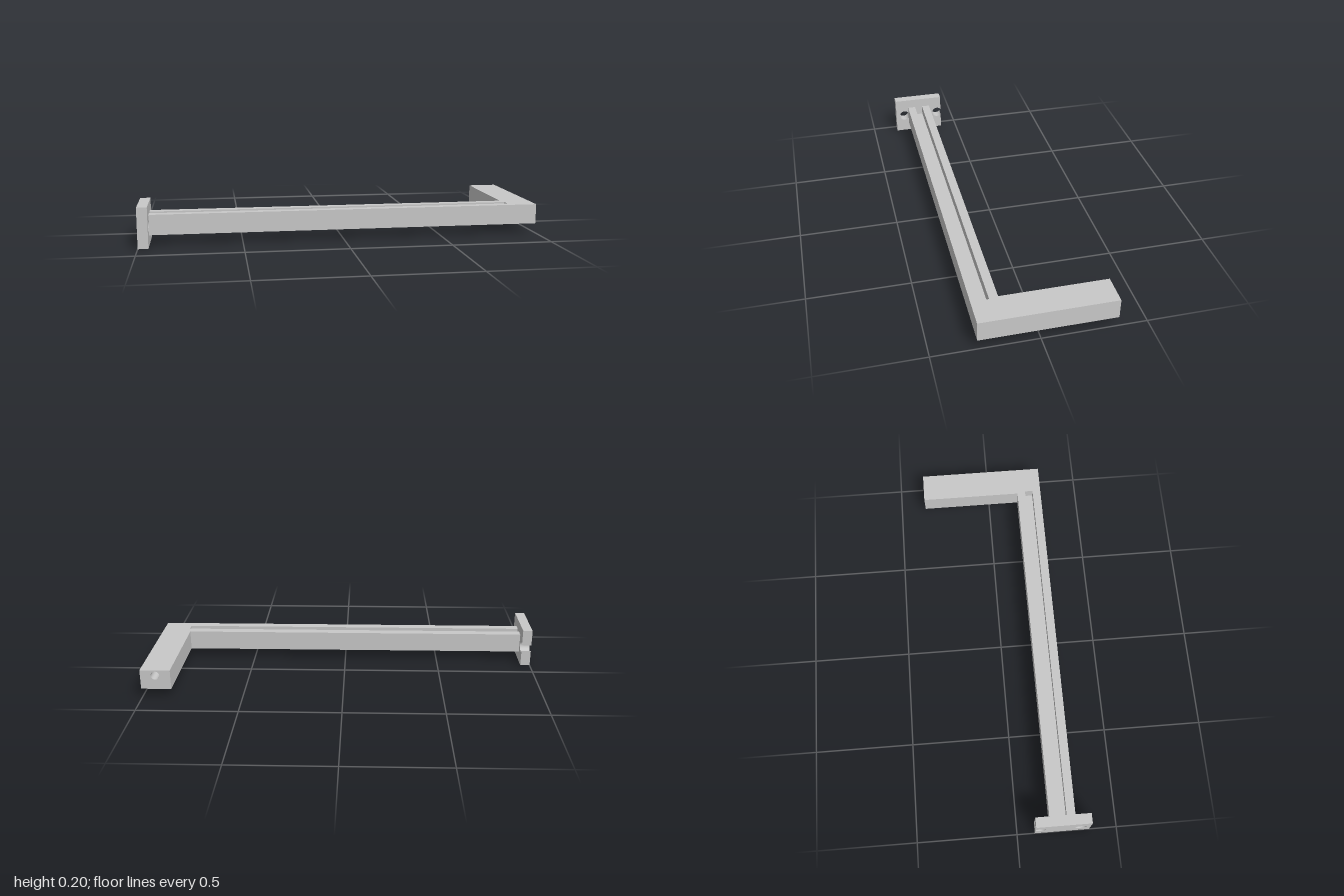
import * as THREE from 'three';

const BAR_BACK = 0.16, BAR_FRONT = 0.2885;  // z range of the long bar
const BAR_LOW = 0.05, BAR_HIGH = 0.15;      // y range of bar and arm
const Z_END = 0.362;

function polygon(points) {
  return new THREE.Shape(points.map(([x, y]) => new THREE.Vector2(x, y)));
}

function addHole(shape, x, y, r) {
  const hole = new THREE.Path();
  hole.absarc(x, y, r, 0, Math.PI * 2, true);
  shape.holes.push(hole);
}

function extrude(shape, depth) {
  return new THREE.ExtrudeGeometry(shape, { depth, bevelEnabled: false, curveSegments: 40 });
}

// Extrudes a (-z, y) profile from x0 to x1
function extrudeAlongX(shape, x0, x1) {
  return extrude(shape, x1 - x0).rotateY(Math.PI / 2).translate(x0, 0, 0);
}

export function createModel() {
  const group = new THREE.Group();
  const grey = new THREE.MeshStandardMaterial({ color: 0xc8c8c8 });
  grey.name = 'light grey';

  const add = (name, geometry) => {
    const mesh = new THREE.Mesh(geometry, grey);
    mesh.name = name;
    group.add(mesh);
  };

  // Mounting plate: one round hole, and one hole breaking out through the back edge
  const r = 0.0285, edge = -0.089, notchX = -0.112, midY = 0.1;
  const open = Math.acos((edge - notchX) / r);
  const plate = new THREE.Shape();
  plate.moveTo(-Z_END, 0);
  plate.lineTo(edge, 0);
  plate.lineTo(edge, midY - r * Math.sin(open));
  plate.absarc(notchX, midY, r, -open, open, true);
  plate.lineTo(edge, 0.2);
  plate.lineTo(-Z_END, 0.2);
  plate.closePath();
  addHole(plate, -0.313, midY, r);
  add('mountingPlate', extrudeAlongX(plate, -1, -0.95));

  // Long bar with a cable groove along its top
  const floor = 0.1;
  add('groovedBar', extrudeAlongX(polygon([
    [-BAR_FRONT, BAR_LOW], [-BAR_BACK, BAR_LOW], [-BAR_BACK, BAR_HIGH], [-0.203, BAR_HIGH],
    [-0.203, floor], [-0.245, floor], [-0.245, BAR_HIGH], [-BAR_FRONT, BAR_HIGH],
  ]), -0.95, 0.86));

  // Solid corner closing the groove
  add('corner', extrudeAlongX(polygon([
    [-BAR_FRONT, BAR_LOW], [-BAR_BACK, BAR_LOW], [-BAR_BACK, BAR_HIGH], [-BAR_FRONT, BAR_HIGH],
  ]), 0.86, 1));

  // Side arm with a bore entering from its back end
  const arm = polygon([[0.85, BAR_LOW], [1, BAR_LOW], [1, BAR_HIGH], [0.85, BAR_HIGH]]);
  addHole(arm, 0.925, 0.122, 0.0215);
  add('sideArm', extrude(arm, BAR_BACK + Z_END).translate(0, 0, -Z_END));

  return group;
}
